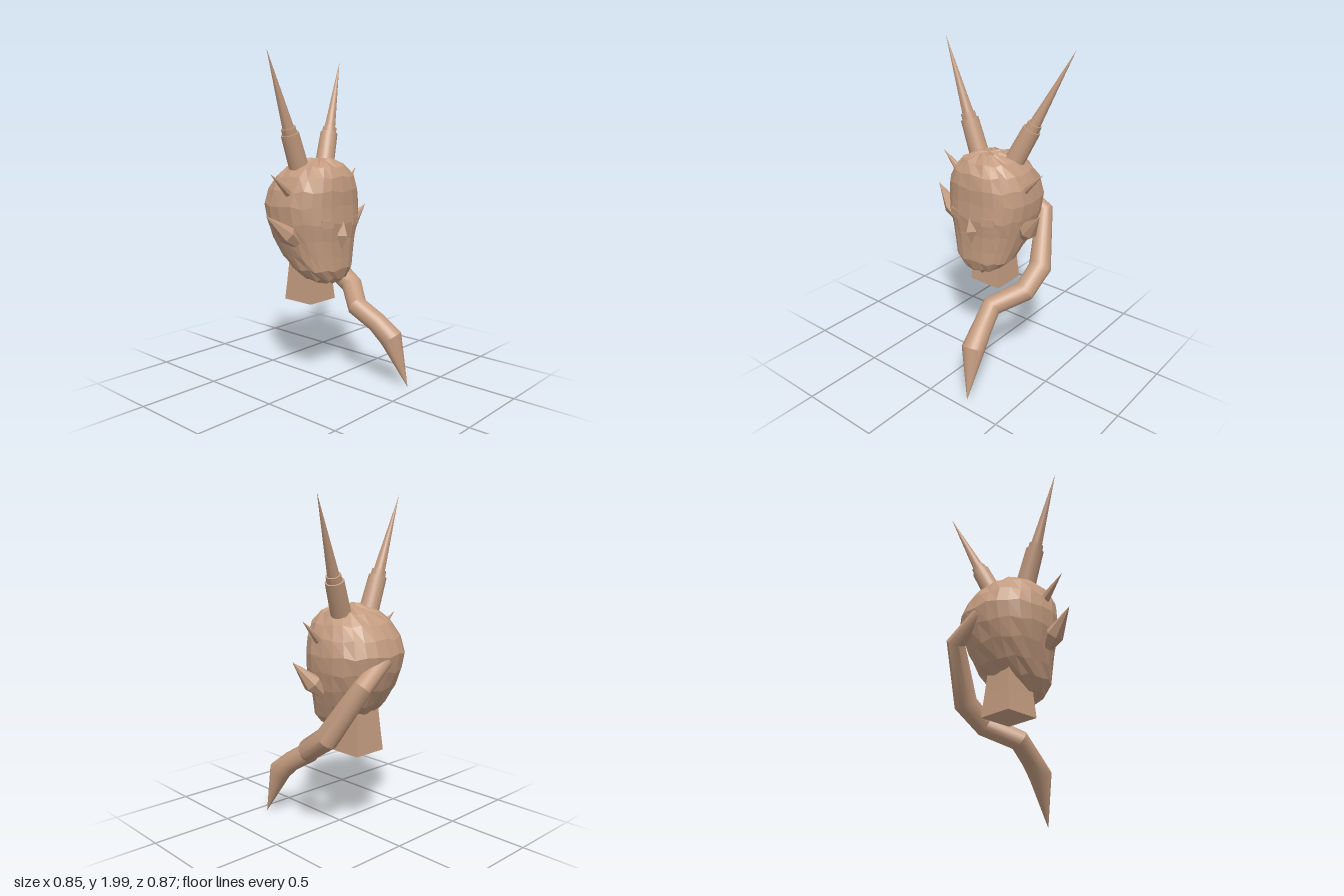
import * as THREE from 'three';
import { toCreasedNormals } from 'three/addons/utils/BufferGeometryUtils.js';

const V = (x, y, z) => new THREE.Vector3(x, y, z);
const flat = new THREE.MeshStandardMaterial({ color: 0xc49c80, flatShading: true });
const smooth = new THREE.MeshStandardMaterial({ color: 0xc49c80 });
const UP = V(0, 1, 0);

// Skin a list of equal-length rings and close both ends with fans
function loft(rings) {
  const n = rings[0].length, index = [];
  const points = rings.flat();
  for (let i = 0; i < rings.length - 1; i++) {
    for (let j = 0; j < n; j++) {
      const a = i * n + j, b = i * n + (j + 1) % n;
      index.push(a, b, a + n, b, b + n, a + n);
    }
  }
  const last = (rings.length - 1) * n;
  for (const [ring, start, flip] of [[rings[0], 0, true], [rings.at(-1), last, false]]) {
    const c = points.length;
    points.push(ring.reduce((s, p) => s.add(p), V(0, 0, 0)).divideScalar(n));
    for (let j = 0; j < n; j++) {
      const a = start + j, b = start + (j + 1) % n;
      index.push(...(flip ? [c, b, a] : [c, a, b]));
    }
  }
  const g = new THREE.BufferGeometry().setFromPoints(points);
  g.setIndex(index);
  g.computeVertexNormals();
  return g;
}

// Tapering tube with a ring mitred at every joint
function jointedTube(joints, sides) {
  const pts = joints.map(([x, y, z]) => V(x, y, z));
  const normal = V(0, 1, 0);
  let previous = null;
  return loft(pts.map((p, i) => {
    const t = V(0, 0, 0);
    if (i > 0) t.add(p.clone().sub(pts[i - 1]).normalize());
    if (i < pts.length - 1) t.add(pts[i + 1].clone().sub(p).normalize());
    t.normalize();
    if (previous) normal.applyQuaternion(new THREE.Quaternion().setFromUnitVectors(previous, t));
    normal.addScaledVector(t, -normal.dot(t)).normalize();
    previous = t;
    const side = t.clone().cross(normal);
    return Array.from({ length: sides }, (_, j) => {
      const a = j / sides * Math.PI * 2, r = joints[i][3];
      return p.clone().addScaledVector(normal, Math.cos(a) * r).addScaledVector(side, Math.sin(a) * r);
    });
  }));
}

export function createModel() {
  const model = new THREE.Group();
  const add = (name, geometry, material = flat) => {
    const mesh = new THREE.Mesh(geometry, material);
    mesh.name = name;
    model.add(mesh);
    return mesh;
  };

  // Turned part along a line; profile pairs are [radius, fraction of length]
  const turned = (name, from, to, profile, sides, material) => {
    const dir = to.clone().sub(from), length = dir.length();
    let g = new THREE.LatheGeometry(profile.map(([r, t]) => new THREE.Vector2(r, t * length)), sides);
    if (material === smooth) g = toCreasedNormals(g, 0.6);
    const mesh = add(name, g, material);
    mesh.position.copy(from);
    mesh.quaternion.setFromUnitVectors(UP, dir.normalize());
  };

  // Head: faceted rounded-square sections [y, half width, front z, back z],
  // rounder at the back, with the face slightly inset and the facets a little uneven
  const sections = [
    [0.635, 0.07, 0.06, -0.07], [0.66, 0.125, 0.085, -0.13], [0.72, 0.182, 0.108, -0.21],
    [0.8, 0.21, 0.108, -0.29], [0.9, 0.24, 0.112, -0.35], [1.0, 0.265, 0.125, -0.39],
    [1.1, 0.274, 0.12, -0.41], [1.19, 0.258, 0.122, -0.38], [1.27, 0.22, 0.108, -0.325],
    [1.33, 0.16, 0.07, -0.255], [1.37, 0.06, 0.0, -0.13],
  ];
  const bend = (v, power) => Math.sign(v) * Math.abs(v) ** power;
  add('head', loft(sections.map(([y, w, front, back], i) => Array.from({ length: 24 }, (_, j) => {
    const a = j / 24 * Math.PI * 2, power = a < Math.PI ? 0.87 : 0.75;
    const z = (front + back) / 2 - (front - back) / 2 * bend(Math.sin(a), power);
    const uneven = 1 + 0.012 * Math.sin(i * 5 + j * 7);
    return V(w * bend(Math.cos(a), power) * uneven * (z > 0 ? 0.98 : 1), y + 0.008 * Math.sin(i * 3 + j * 4), z);
  }))));

  // Nose: a pyramid with its peak low on the bridge
  const [top, left, right, base, peak] = [
    V(0, 1.02, 0.122), V(0.045, 0.93, 0.114), V(-0.045, 0.93, 0.114), V(0, 0.83, 0.107), V(0, 0.925, 0.152)];
  const nose = new THREE.BufferGeometry().setFromPoints([
    top, peak, left, top, right, peak, base, left, peak, base, peak, right]);
  nose.computeVertexNormals();
  add('nose', nose);

  // Eyes: slanted blocks set into the face
  for (const s of [1, -1]) {
    const eye = add(s > 0 ? 'leftEye' : 'rightEye', new THREE.BoxGeometry(0.08, 0.05, 0.03));
    eye.position.set(s * 0.12, 1.005, 0.098);
    eye.rotation.set(0, s * 0.28, s * 0.06);
  }

  // Neck: four-sided stump flaring downwards, hollowed underneath
  const neck = add('neck', new THREE.LatheGeometry(
    [[0, 0.07], [0.155, 0], [0.14, 0.12], [0.12, 0.3]].map(([r, y]) => new THREE.Vector2(r, y)), 4));
  neck.position.set(-0.01, 0.5, -0.142);
  neck.rotation.y = Math.PI / 4;

  // Horns: socket, collar and long spike turned as one piece
  const horn = [[0, 0], [0.06, 0], [0.054, 0.32], [0.044, 0.32], [0.043, 0.37], [0.034, 0.37], [0, 1]];
  turned('leftHorn', V(0.115, 1.3, -0.14), V(0.422, 1.975, -0.28), horn, 28, smooth);
  turned('rightHorn', V(-0.115, 1.3, -0.12), V(-0.375, 1.995, -0.12), horn, 28, smooth);

  // Temple spikes
  const spike = [[0, 0], [0.03, 0.05], [0, 1]];
  turned('leftTempleSpike', V(0.23, 1.175, -0.085), V(0.365, 1.3, -0.09), spike, 8, flat);
  turned('rightTempleSpike', V(-0.23, 1.175, -0.085), V(-0.385, 1.3, -0.09), spike, 8, flat);

  // Pointed ears
  const ear = [[0, 0], [0.03, 0], [0.055, 0.32], [0, 1]];
  turned('leftEar', V(0.235, 0.88, -0.1), V(0.39, 1.068, -0.03), ear, 7, flat);
  turned('rightEar', V(-0.225, 0.89, -0.045), V(-0.428, 1.068, -0.085), ear, 6, flat);

  // Braid from the back of the head, sweeping over the left side to a point: [x, y, z, radius]
  const braid = [
    [0.0, 1.07, -0.36, 0.05], [0.19, 0.945, -0.38, 0.056], [0.29, 0.645, -0.205, 0.07],
    [0.287, 0.545, -0.05, 0.066], [0.155, 0.46, 0.105, 0.063], [0.185, 0.375, 0.24, 0.062],
    [0.2, 0.295, 0.335, 0.07], [0.235, 0.005, 0.435, 0.001],
  ];
  add('braid', toCreasedNormals(jointedTube(braid, 24), 0.5), smooth);

  return model;
}
